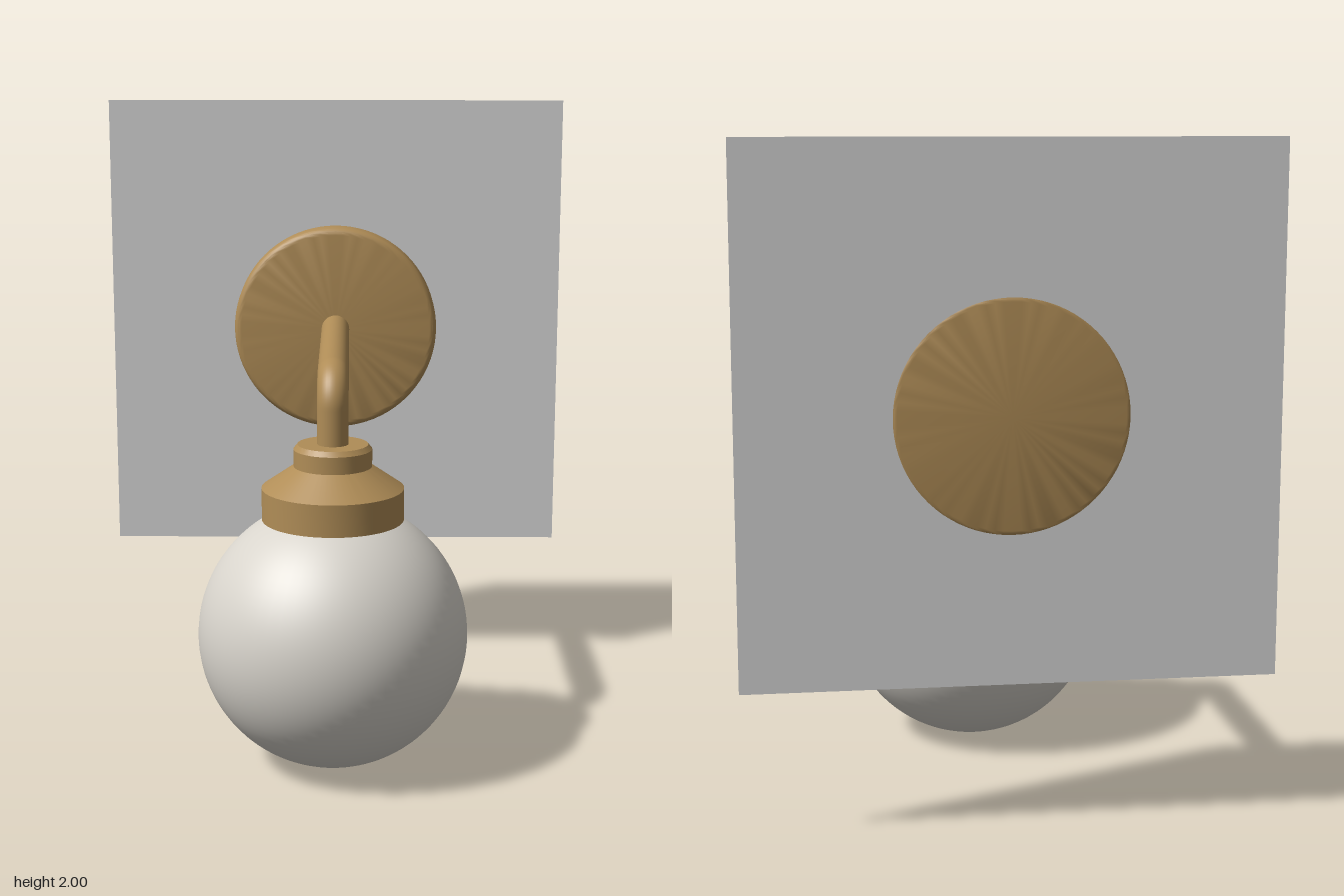
import * as THREE from 'three';
import { toCreasedNormals } from 'three/addons/utils/BufferGeometryUtils.js';

const ARM_Y = 1.222, LAMP_Z = 0.28, BACK_Z = -0.697;

// Lathe from [radius, height] pairs, with sharp edges kept
function turned(points, segments = 64) {
  const profile = points.map(([r, y]) => new THREE.Vector2(r, y));
  return toCreasedNormals(new THREE.LatheGeometry(profile, segments), 0.5);
}

export function createModel() {
  const group = new THREE.Group();
  const brass = new THREE.MeshStandardMaterial({ name: 'brass', color: 0xb08d57 });
  const glass = new THREE.MeshStandardMaterial({ name: 'opal glass', color: 0xd8d4cc });
  const plaster = new THREE.MeshStandardMaterial({ name: 'wall grey', color: 0xd8d8d8, side: THREE.DoubleSide });

  const add = (name, geometry, material, x, y, z) => {
    const mesh = new THREE.Mesh(geometry, material);
    mesh.name = name;
    mesh.position.set(x, y, z);
    group.add(mesh);
    return mesh;
  };

  // Wall panel, just in front of the back face of the mounting plate
  add('wallPanel', new THREE.PlaneGeometry(1.56, 1.556), plaster, 0, ARM_Y, BACK_Z + 0.003);

  // Round mounting plate with softened rims
  const R = 0.35, T = 0.107, b = 0.024;
  const rim = [[0, 0]];
  for (let i = 0; i <= 6; i++) {
    const a = (i / 6) * Math.PI / 2;
    rim.push([R - b + b * Math.sin(a), b - b * Math.cos(a)]);
  }
  for (let i = 0; i <= 6; i++) {
    const a = (i / 6) * Math.PI / 2;
    rim.push([R - b + b * Math.cos(a), T - b + b * Math.sin(a)]);
  }
  rim.push([0, T]);
  add('mountingPlate', turned(rim, 80), brass, 0, ARM_Y, BACK_Z).rotation.x = Math.PI / 2;

  // Bent arm: straight out from the plate, then down into the collar
  const bend = 0.09;
  const v = (y, z) => new THREE.Vector3(0, y, z);
  const path = new THREE.CurvePath();
  path.add(new THREE.LineCurve3(v(ARM_Y, -0.62), v(ARM_Y, LAMP_Z - bend)));
  const k = bend * 0.4477;
  path.add(new THREE.CubicBezierCurve3(
    v(ARM_Y, LAMP_Z - bend), v(ARM_Y, LAMP_Z - k),
    v(ARM_Y - k, LAMP_Z), v(ARM_Y - bend, LAMP_Z)));
  path.add(new THREE.LineCurve3(v(ARM_Y - bend, LAMP_Z), v(0.99, LAMP_Z)));
  add('arm', new THREE.TubeGeometry(path, 120, 0.048, 32), brass, 0, 0, 0);

  // Collar with a chamfered top edge
  add('collar', turned([[0, 0.94], [0.12, 0.94], [0.12, 1.003], [0.108, 1.018], [0, 1.018]]),
    brass, 0, 0, LAMP_Z);

  // Shade holder: short drum with a sloping shoulder
  add('shadeHolder', turned([[0, 0.783], [0.218, 0.783], [0.218, 0.882], [0.105, 0.96], [0, 0.96]]),
    brass, 0, 0, LAMP_Z);

  // Glass globe
  add('globe', new THREE.SphereGeometry(0.417, 64, 48), glass, 0, 0.417, LAMP_Z);

  return group;
}
